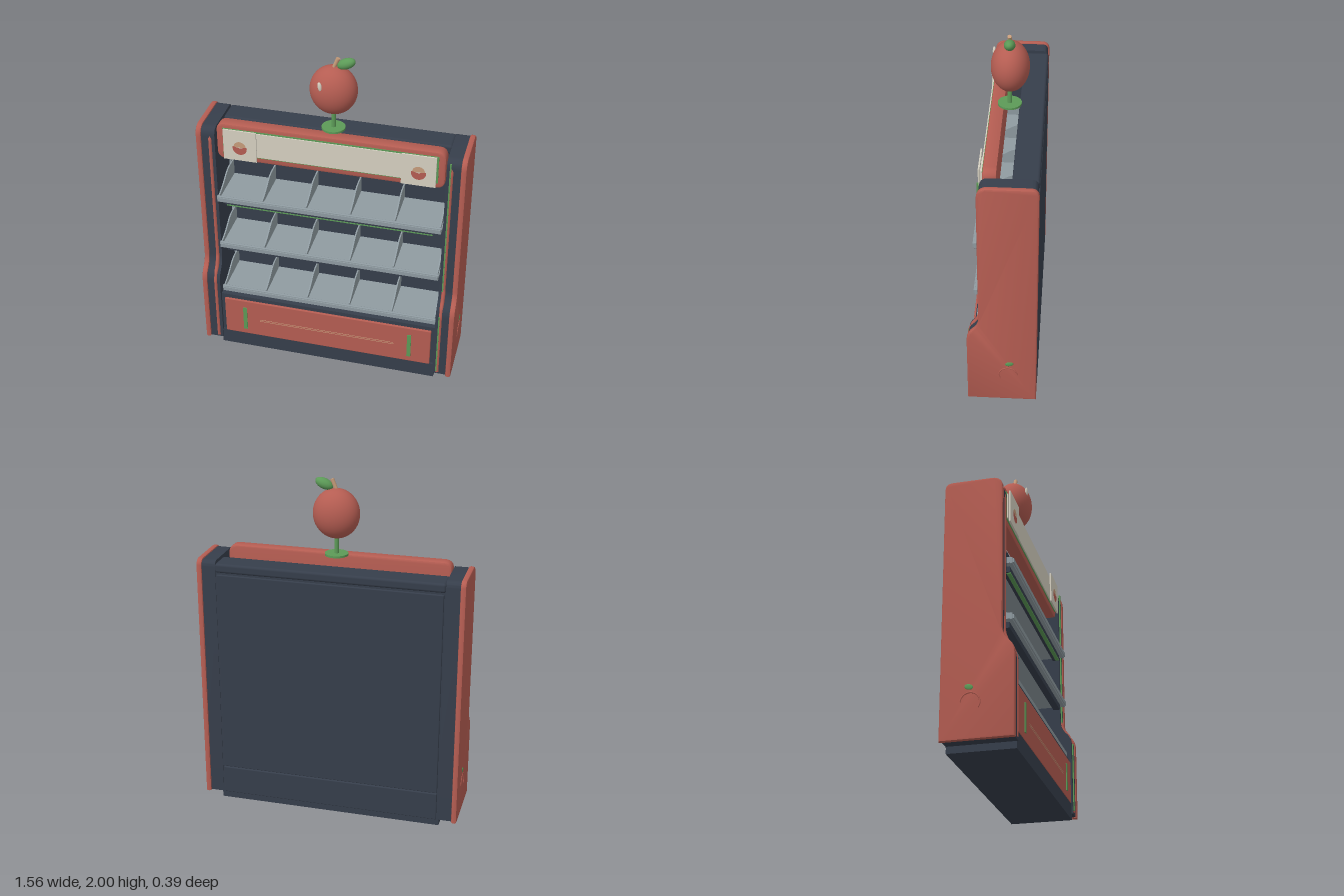
import * as THREE from 'three';
import { toCreasedNormals } from 'three/addons/utils/BufferGeometryUtils.js';
import { RoundedBoxGeometry } from 'three/addons/geometries/RoundedBoxGeometry.js';

const mat = (name, color) => Object.assign(new THREE.MeshStandardMaterial({ color }), { name });

export function createModel() {
  const red = mat('brick red', 0xb55d52), dark = mat('slate', 0x363e4b);
  const grey = mat('shelf grey', 0x8f9ba1), cream = mat('cream', 0xd6d0c1);
  const green = mat('leaf green', 0x5c9a57), tan = mat('tan', 0xc69c7a);
  const root = new THREE.Group();
  root.name = 'displayShelf';

  const add = (name, geo, material, x = 0, y = 0, z = 0) => {
    const m = new THREE.Mesh(geo, material);
    m.name = name;
    m.position.set(x, y, z);
    root.add(m);
    return m;
  };
  // box given by its limits, optionally with rounded edges
  const box = (name, material, x0, x1, y0, y1, z0, z1, r = 0) => {
    const s = [x1 - x0, y1 - y0, z1 - z0];
    const geo = r ? new RoundedBoxGeometry(...s, 2, r) : new THREE.BoxGeometry(...s);
    return add(name, geo, material, (x0 + x1) / 2, (y0 + y1) / 2, (z0 + z1) / 2);
  };
  // side outline in z and y, inset by d, swept along x from x0 to x1
  const sideProfile = (d) => {
    const s = new THREE.Shape();
    const f = 0.197 - d, u = 0.13 - d, b = -0.197 + d, t = 1.525 - d, lo = 0.03 + d;
    s.moveTo(b, lo);
    s.lineTo(f, lo);
    s.lineTo(f, 0.47);
    s.quadraticCurveTo(f, 0.515, f - 0.025, 0.54);
    s.quadraticCurveTo(u, 0.58, u, 0.63);
    s.lineTo(u, t - 0.06);
    s.quadraticCurveTo(u, t, u - 0.05, t);
    s.lineTo(b + 0.035, t);
    s.quadraticCurveTo(b, t, b, t - 0.035);
    s.closePath();
    return s;
  };
  const sweep = (shape, x0, x1, bevel = 0) => {
    const g = new THREE.ExtrudeGeometry(shape, {
      depth: x1 - x0 - 2 * bevel, curveSegments: 8, bevelEnabled: bevel > 0,
      bevelSize: bevel, bevelThickness: bevel, bevelSegments: 2,
    });
    g.rotateY(-Math.PI / 2).translate(x1 - bevel, 0, 0);
    return toCreasedNormals(g, 0.6);
  };

  // side walls: red outer shell, slate inner wall, red front trim
  for (const s of [-1, 1]) {
    const side = s > 0 ? 'left' : 'right';
    const span = (a, b) => (s > 0 ? [a, b] : [-b, -a]);
    add(side + 'OuterPanel', sweep(sideProfile(0.01), ...span(0.743, 0.776), 0.01), red);
    add(side + 'InnerPanel', sweep(sideProfile(0.008), ...span(0.664, 0.744)), dark);
    const path = new THREE.CurvePath();
    const pts = [[0.05, 0.183], [0.48, 0.183], [0.53, 0.168], [0.57, 0.138], [0.63, 0.117], [1.44, 0.117], [1.49, 0.102]]
      .map(([y, z]) => new THREE.Vector3(s * 0.692, y, z));
    for (let i = 1; i < pts.length; i++) path.add(new THREE.LineCurve3(pts[i - 1], pts[i]));
    add(side + 'Trim', new THREE.TubeGeometry(path, 60, 0.012, 8), red);
    box(side + 'Upright', grey, ...span(0.652, 0.664), 0.38, 1.45, -0.12, -0.1);

    // fruit relief low on the outer wall
    const ring = add(side + 'FruitRelief', new THREE.TorusGeometry(0.052, 0.004, 6, 24, Math.PI * 1.2), red, s * 0.776, 0.225, -0.035);
    ring.rotation.set(0, Math.PI / 2, 0);
    const leafMark = add(side + 'LeafRelief', new THREE.SphereGeometry(1, 12, 8), green, s * 0.776, 0.308, -0.042);
    leafMark.scale.set(0.004, 0.015, 0.024);
    leafMark.rotation.x = 0.25;
  }
  // thin accent line on one trim
  box('trimAccent', green, 0.682, 0.69, 0.62, 1.5, 0.12, 0.131);
  box('trimAccentLower', green, 0.682, 0.69, 0.06, 0.48, 0.187, 0.196);

  // cabinet body
  box('plinth', dark, -0.67, 0.67, 0, 0.1, -0.188, 0.182);
  box('backWall', dark, -0.665, 0.665, 0.03, 1.46, -0.185, -0.13);
  box('backPanel', dark, -0.655, 0.655, 0.215, 1.44, -0.197, -0.18, 0.005);
  box('backKickPanel', dark, -0.655, 0.655, 0.04, 0.21, -0.197, -0.18, 0.005);
  box('roof', dark, -0.665, 0.665, 1.45, 1.505, -0.195, -0.05, 0.015);
  box('lowerCabinet', dark, -0.665, 0.665, 0.05, 0.375, -0.14, 0.172);

  // drawer front with two pulls and fine lines
  box('drawerFront', red, -0.642, 0.642, 0.095, 0.35, 0.165, 0.185, 0.005);
  for (const s of [-1, 1]) box('drawerPull', green, s * 0.513 - 0.012, s * 0.513 + 0.012, 0.135, 0.3, 0.183, 0.19);
  for (const y of [0.208, 0.219]) box('drawerLine', tan, -0.42, 0.42, y, y + 0.003, 0.184, 0.186);

  // divider outline in z and y above the shelf
  const divider = new THREE.Shape();
  divider.moveTo(-0.13, 0);
  divider.lineTo(0.14, 0);
  divider.lineTo(0.14, 0.022);
  divider.quadraticCurveTo(0.09, 0.03, 0.02, 0.075);
  divider.quadraticCurveTo(-0.02, 0.1, -0.06, 0.1);
  divider.lineTo(-0.13, 0.1);
  const dividerGeo = sweep(divider, -0.004, 0.004);

  // three shelves with front rails and dividers
  [0.385, 0.715, 1.045].forEach((y, i) => {
    box('shelfBoard', grey, -0.66, 0.66, y + 0.005, y + 0.022, -0.135, 0.145);
    box('shelfRail', grey, -0.66, 0.66, y, y + 0.04, 0.14, 0.155, 0.004);
    box('shelfRailStrip', grey, -0.655, 0.655, y + 0.008, y + 0.032, 0.15, 0.162);
    for (let k = 0; k < 6; k++) add('shelfDivider', dividerGeo, grey, -0.65 + k * 0.26, y + 0.02, 0);
    if (i > 0) {
      box('shelfUnderBar', dark, -0.62, 0.62, y - 0.028, y + 0.006, 0.09, 0.13);
      if (i === 2) box('shelfLightLine', green, -0.61, 0.61, y - 0.033, y - 0.026, 0.11, 0.132);
    }
  });

  // header board with rounded corners
  const w = 0.647, h = 0.105, r = 0.04;
  const board = new THREE.Shape();
  board.moveTo(-w + r, -h);
  board.lineTo(w - r, -h);
  board.quadraticCurveTo(w, -h, w, -h + r);
  board.lineTo(w, h - r);
  board.quadraticCurveTo(w, h, w - r, h);
  board.lineTo(-w + r, h);
  board.quadraticCurveTo(-w, h, -w, h - r);
  board.lineTo(-w, -h + r);
  board.quadraticCurveTo(-w, -h, -w + r, -h);
  const boardGeo = new THREE.ExtrudeGeometry(board, { depth: 0.055, bevelSize: 0.01, bevelThickness: 0.01, bevelSegments: 2, curveSegments: 6 });
  add('headerBoard', toCreasedNormals(boardGeo, 0.6), red, 0, 1.435, 0.04);
  box('headerBorder', green, -0.618, 0.618, 1.355, 1.525, 0.1, 0.109);
  box('headerPanel', cream, -0.605, 0.605, 1.363, 1.517, 0.107, 0.116);
  for (const s of [-1, 1]) {
    box('headerTile', cream, s * 0.512 - 0.097, s * 0.512 + 0.097, 1.338, 1.53, 0.122, 0.131);
    box('headerTileMount', cream, s * 0.512 - 0.06, s * 0.512 + 0.06, 1.37, 1.5, 0.1, 0.123);
    // fruit picture: tan upper part, red lower part
    add('tileFruitTop', new THREE.CircleGeometry(0.036, 24, 0, Math.PI), tan, s * 0.512, 1.425, 0.1325);
    add('tileFruitBase', new THREE.CircleGeometry(0.042, 24, Math.PI * 0.92, Math.PI * 1.16), red, s * 0.512, 1.42, 0.1335);
  }

  // fruit topper on its stand
  add('topperFoot', new THREE.CylinderGeometry(0.067, 0.067, 0.012, 32), green, 0, 1.56, 0);
  add('topperPost', new THREE.CylinderGeometry(0.013, 0.013, 0.12, 16), green, 0, 1.61, 0);
  add('fruit', new THREE.SphereGeometry(1, 40, 28), red, 0, 1.798, -0.003).scale.set(0.134, 0.143, 0.107);
  const glint = add('fruitHighlight', new THREE.SphereGeometry(1, 12, 10), cream, -0.055, 1.854, 0.088);
  glint.scale.set(0.012, 0.028, 0.009);
  glint.rotation.z = 0.15;
  const stem = add('fruitStem', new THREE.CylinderGeometry(0.012, 0.01, 0.07, 12), tan, 0.012, 1.96, 0);
  stem.rotation.z = -0.4;
  const leaf = add('fruitLeaf', new THREE.SphereGeometry(1, 20, 14), green, 0.07, 1.964, -0.003);
  leaf.scale.set(0.054, 0.03, 0.031);
  leaf.rotation.z = 0.4;

  return root;
}
